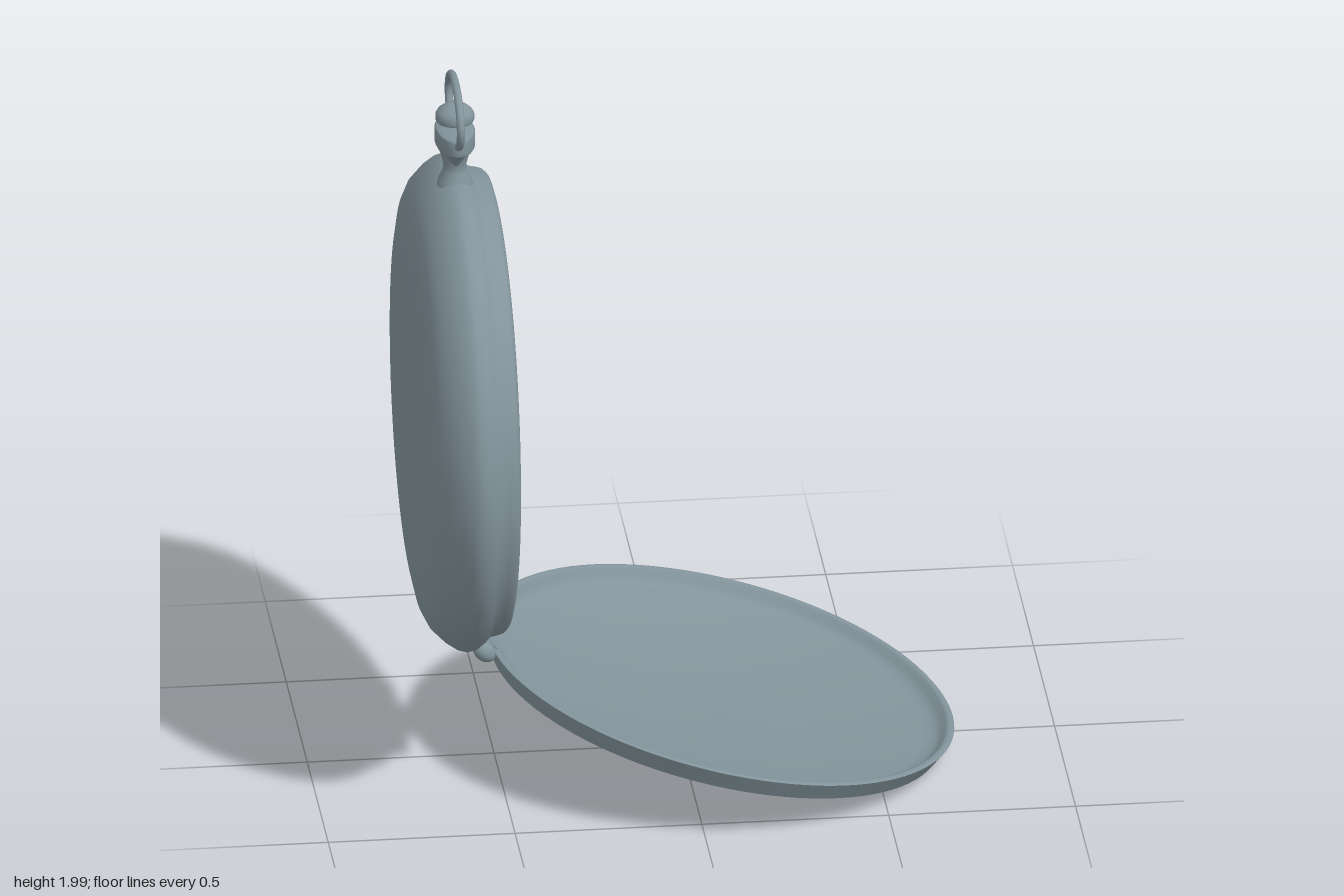
import * as THREE from 'three';

const metal = new THREE.MeshStandardMaterial({ color: 0x82939b });
metal.name = 'steel grey';
const glassBlue = new THREE.MeshStandardMaterial({ color: 0x8bafcb });
glassBlue.name = 'glass blue';

const V2 = (list) => list.map(([r, h]) => new THREE.Vector2(r, h));

// Each profile becomes one smooth lathe; separate profiles meet at a sharp edge.
function turned(name, profiles, segments = 96) {
  const group = new THREE.Group();
  group.name = name;
  profiles.forEach((p, i) => {
    const mesh = new THREE.Mesh(new THREE.LatheGeometry(V2(p), segments), metal);
    mesh.name = `${name}Surface${i + 1}`;
    group.add(mesh);
  });
  return group;
}

function add(parent, name, geometry, material = metal) {
  const mesh = new THREE.Mesh(geometry, material);
  mesh.name = name;
  parent.add(mesh);
  return mesh;
}

export function createModel() {
  const model = new THREE.Group();
  model.name = 'pocketWatch';
  const caseY = 1.045, stemX = -0.605;

  // Watch case: turned around x, heights in the profile are x positions
  const body = turned('case', [
    [[0, -0.729], [0.25, -0.729], [0.44, -0.728], [0.51, -0.722], [0.565, -0.71],
      [0.605, -0.69], [0.64, -0.655], [0.66, -0.625], [0.666, -0.603], [0.66, -0.58],
      [0.645, -0.56], [0.629, -0.545], [0.625, -0.525], [0.62, -0.508], [0.61, -0.498],
      [0.598, -0.495], [0.583, -0.498], [0.57, -0.507], [0.556, -0.522]],
  ]);
  body.rotation.z = -Math.PI / 2;
  body.position.y = caseY;
  model.add(body);

  // Glass over the dial
  const glass = add(model, 'glass', new THREE.CircleGeometry(0.558, 96), glassBlue);
  glass.rotation.y = Math.PI / 2;
  glass.position.set(-0.517, caseY, 0);

  // Open lid: domed outside, rim and dished inside
  const lid = turned('lid', [
    [[0, -0.152], [0.18, -0.14], [0.36, -0.114], [0.5, -0.085], [0.617, -0.055]],
    [[0.617, -0.055], [0.642, -0.004]],
    [[0.642, -0.004], [0.637, 0], [0.627, 0], [0.619, -0.005], [0.612, -0.02],
      [0.597, -0.035], [0.57, -0.043], [0.4, -0.07], [0.2, -0.088], [0, -0.095]],
  ]);
  lid.rotation.z = -0.24;
  lid.position.set(0.105, 0.208, 0);
  model.add(lid);

  // Hinge: a knuckle on each side and a plate to the lid
  for (const s of [-1, 1]) {
    const geometry = new THREE.CapsuleGeometry(0.026, 0.095, 8, 20);
    geometry.rotateX(Math.PI / 2);
    geometry.scale(1.3, 1, 1);
    const knuckle = add(model, s > 0 ? 'leftKnuckle' : 'rightKnuckle', geometry);
    knuckle.rotation.set(-s * 0.15, 0, -0.75);
    knuckle.position.set(-0.55, 0.402, s * 0.165);
  }
  const pin = add(model, 'hingePin', new THREE.CylinderGeometry(0.016, 0.016, 0.24, 20));
  pin.rotation.x = Math.PI / 2;
  pin.position.set(-0.54, 0.383, 0);
  const plate = add(model, 'hingePlate', new THREE.BoxGeometry(0.075, 0.024, 0.18));
  plate.rotation.z = -0.75;
  plate.position.set(-0.522, 0.362, 0);

  // Neck, oval collar and winding crown
  const neck = turned('neck', [
    [[0.048, 1.69], [0.044, 1.708], [0.033, 1.73], [0.031, 1.75], [0.038, 1.78], [0.046, 1.8]],
  ], 40);
  const collar = turned('collar', [
    [[0.032, 1.755], [0.055, 1.785], [0.093, 1.808]],
    [[0.093, 1.808], [0.099, 1.815], [0.099, 1.85], [0.094, 1.856]],
    [[0.094, 1.856], [0.06, 1.865], [0, 1.866]],
  ], 48);
  collar.scale.x = 0.54;
  const crown = turned('crown', [
    [[0.025, 1.86], [0.025, 1.874]],
    [[0.025, 1.874], [0.049, 1.876]],
    [[0.049, 1.876], [0.052, 1.882], [0.052, 1.896], [0.046, 1.907],
      [0.03, 1.92], [0.015, 1.926], [0, 1.927]],
  ], 40);
  for (const part of [neck, collar, crown]) {
    part.position.x = stemX;
    model.add(part);
  }

  // Bow: open oval loop whose ends sit in the collar
  const loop = [];
  for (let i = 0; i <= 24; i++) {
    const a = -0.92 + (i / 24) * (Math.PI + 1.84);
    loop.push(new THREE.Vector3(stemX, 1.905 + 0.084 * Math.sin(a), 0.145 * Math.cos(a)));
  }
  add(model, 'bow', new THREE.TubeGeometry(new THREE.CatmullRomCurve3(loop), 72, 0.011, 12));

  return model;
}
